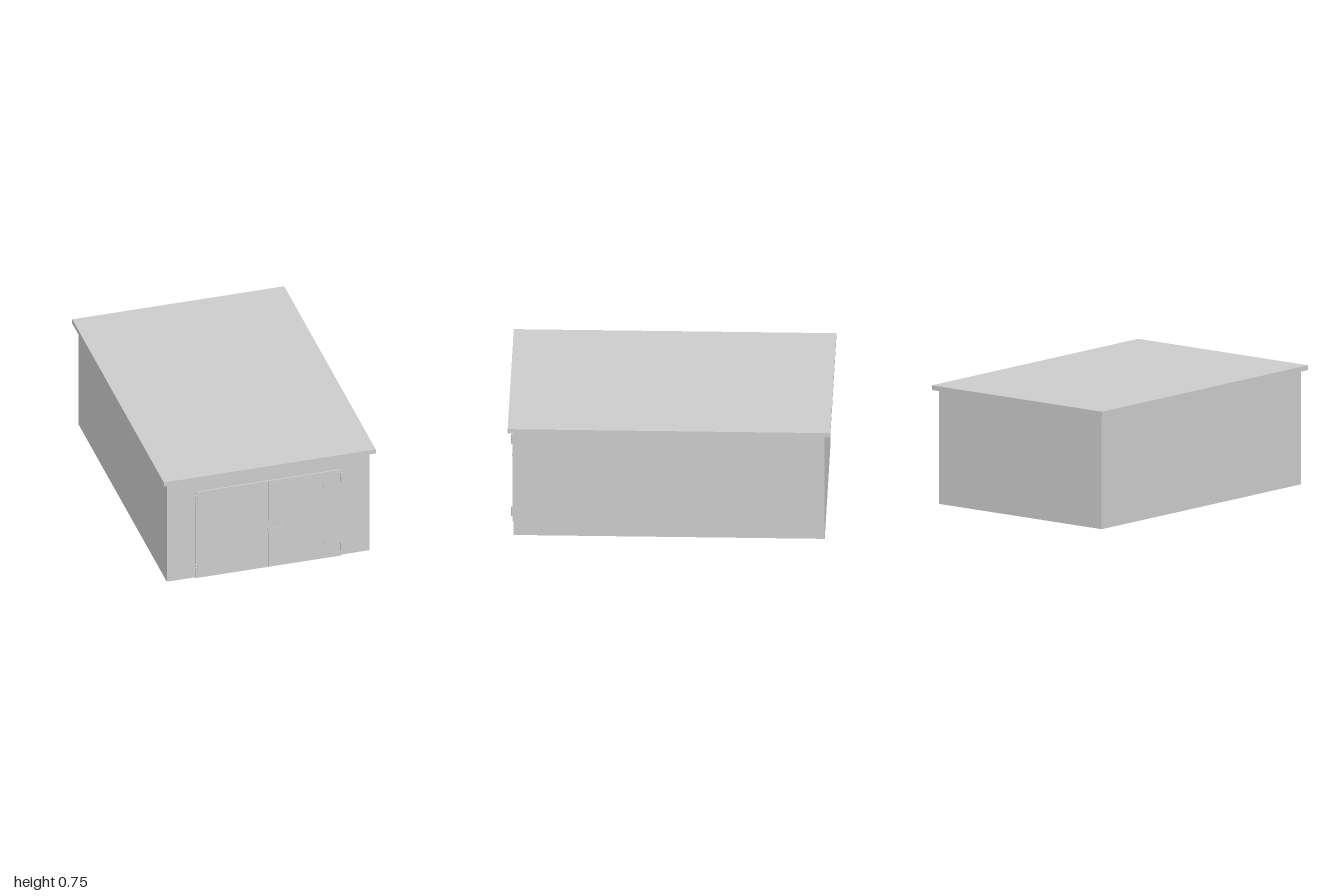
import * as THREE from 'three';

const material = new THREE.MeshStandardMaterial({ color: 0xcccccc, side: THREE.DoubleSide });

// Box given by its minimum and maximum corners
function box(parent, name, [x0, y0, z0], [x1, y1, z1]) {
  const mesh = new THREE.Mesh(new THREE.BoxGeometry(x1 - x0, y1 - y0, z1 - z0), material);
  mesh.position.set((x0 + x1) / 2, (y0 + y1) / 2, (z0 + z1) / 2);
  mesh.name = name;
  parent.add(mesh);
  return mesh;
}

// Hinge barrel made of stacked knuckles
function hinge(name, x, y, z, radius, height, knuckles) {
  const group = new THREE.Group();
  group.name = name;
  const step = height / knuckles;
  for (let i = 0; i < knuckles; i++) {
    const mesh = new THREE.Mesh(new THREE.CylinderGeometry(radius, radius, step * 0.94, 12), material);
    mesh.position.set(x, y + (i + 0.5) * step, z);
    mesh.name = 'hingeKnuckle';
    group.add(mesh);
  }
  return group;
}

export function createModel() {
  const model = new THREE.Group();
  model.name = 'garage';

  const W = 0.655, D = 0.965, H = 0.72, T = 0.004; // half width, half depth, wall height, wall thickness
  const doorX = 0.47, doorH = 0.625;

  // Overhanging flat roof
  box(model, 'roof', [-0.685, H, -1], [0.685, 0.75, 1]);

  // Side and back walls; the floor is open
  for (const s of [-1, 1]) {
    const wall = box(model, s > 0 ? 'leftWall' : 'rightWall', [W - T, 0, -D], [W, H, D]);
    wall.position.x *= s;
  }
  box(model, 'backWall', [-W + T, 0, -D], [W - T, H, -D + T]);

  // Front wall around the door opening
  const front = new THREE.Shape([
    [-W + T, 0], [-doorX, 0], [-doorX, doorH], [doorX, doorH],
    [doorX, 0], [W - T, 0], [W - T, H], [-W + T, H],
  ].map(([x, y]) => new THREE.Vector2(x, y)));
  const frontWall = new THREE.Mesh(
    new THREE.ExtrudeGeometry(front, { depth: T, bevelEnabled: false }), material);
  frontWall.position.z = D - T;
  frontWall.name = 'frontWall';
  model.add(frontWall);

  // Double doors, with a slightly raised wicket door in one leaf
  const doors = new THREE.Group();
  doors.name = 'doors';
  model.add(doors);
  box(doors, 'rightDoor', [-doorX, 0, D], [-0.001, doorH, 0.975]);
  box(doors, 'leftDoor', [0.001, 0, D], [doorX, doorH, 0.975]);
  box(doors, 'wicketDoor', [0.002, 0.004, 0.97], [0.355, 0.612, 0.9765]);

  // Hinges of the main doors and of the wicket
  for (const y of [0.04, 0.542]) {
    for (const s of [-1, 1]) doors.add(hinge('doorHinge', s * doorX, y, 0.977, 0.008, 0.062, 3));
  }
  for (const y of [0.1, 0.51]) doors.add(hinge('wicketHinge', 0.355, y, 0.9765, 0.003, 0.032, 2));

  // Lock plates with small latch handles
  for (const x of [0, 0.113]) {
    const lock = new THREE.Group();
    lock.name = 'lock';
    doors.add(lock);
    box(lock, 'lockPlate', [x - 0.03, 0.25, 0.975], [x + 0.045, 0.335, 0.9775]);
    for (const dx of [-0.008, 0.004]) {
      box(lock, 'latchPost', [x + dx - 0.002, 0.273, 0.977], [x + dx + 0.002, 0.287, 0.988]);
    }
  }
  box(doors, 'latchBar', [-0.008, 0.277, 0.982], [0.119, 0.283, 0.985]);

  return model;
}
